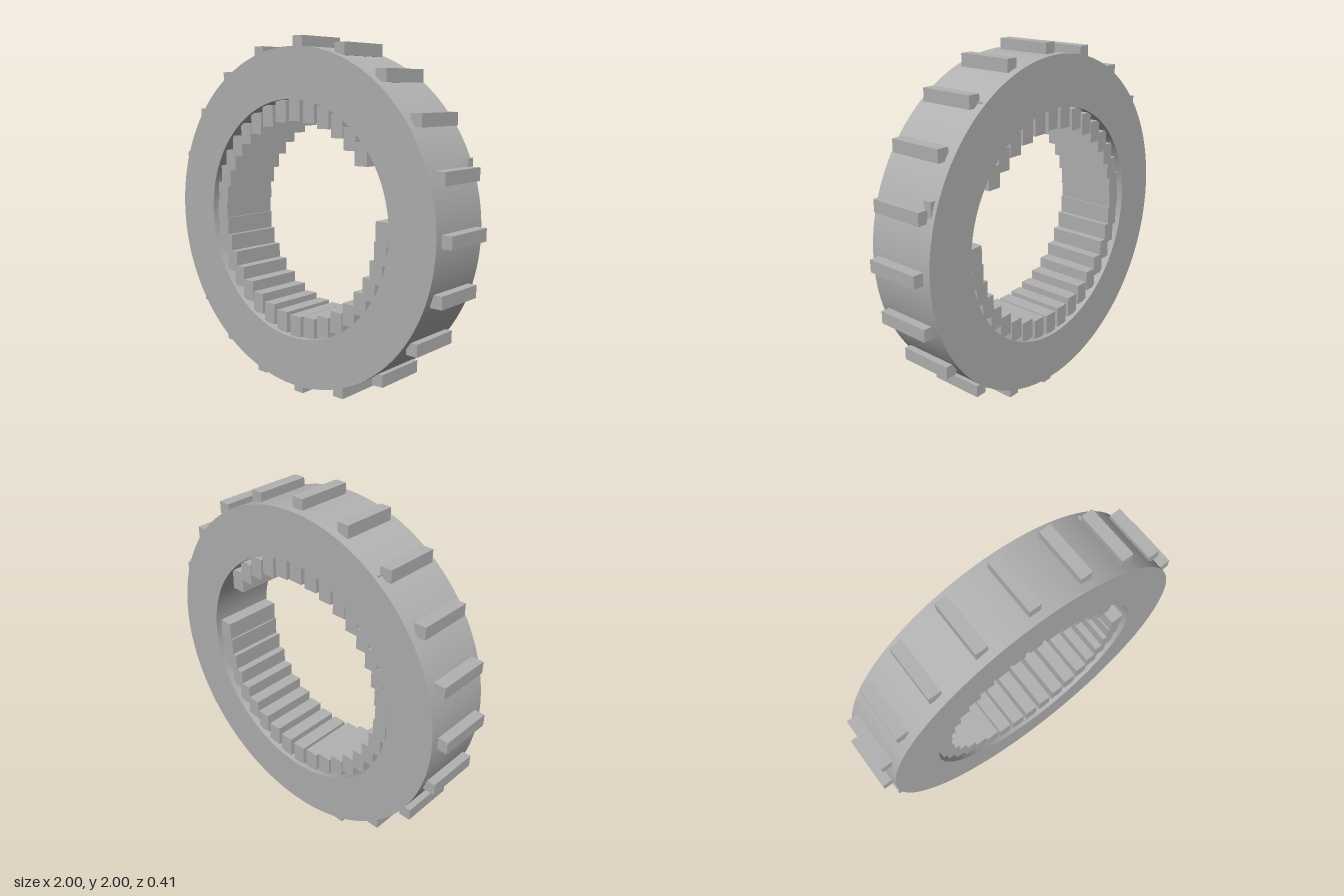
import * as THREE from 'three';
import { toCreasedNormals } from 'three/addons/utils/BufferGeometryUtils.js';

export function createModel() {
  const model = new THREE.Group();
  model.name = 'toothedRing';
  const steel = new THREE.MeshStandardMaterial({ color: 0xb2b2b2 });
  steel.name = 'plain grey';

  const centreY = 1;
  const add = (geometry, name, x, y, z, parent = model) => {
    const mesh = new THREE.Mesh(geometry, steel);
    mesh.name = name;
    mesh.position.set(x, y, z);
    parent.add(mesh);
  };

  // Main ring: flat annulus with smooth inner and outer walls
  const depth = 0.405;
  const outline = new THREE.Shape().absarc(0, 0, 0.942, 0, Math.PI * 2, false);
  outline.holes.push(new THREE.Path().absarc(0, 0, 0.664, 0, Math.PI * 2, true));
  const ring = new THREE.ExtrudeGeometry(outline, { depth, bevelEnabled: false, curveSegments: 128 });
  add(toCreasedNormals(ring, 0.6), 'ring', 0, centreY, -depth / 2);

  // Upright blocks spaced around a circle, skipping the given slots
  const blockCircle = (name, count, radius, size, skipped = []) => {
    const group = new THREE.Group();
    group.name = name + 's';
    const block = new THREE.BoxGeometry(...size);
    for (let i = 0; i < count; i++) {
      if (skipped.includes(i)) continue;
      const a = (i / count) * Math.PI * 2;
      add(block, name, radius * Math.cos(a), centreY + radius * Math.sin(a), 0, group);
    }
    model.add(group);
  };
  blockCircle('outerTooth', 20, 0.966, [0.068, 0.068, 0.312]);
  blockCircle('innerBlock', 36, 0.605, [0.08, 0.12, 0.36], [1, 2, 3]);

  // Small lug whose corner breaks through the rim near the back
  add(new THREE.BoxGeometry(0.08, 0.08, 0.045), 'rimLug', 0.855, 1.335, -0.158);

  // Thin clip corners just breaking through the rim
  const clip = new THREE.BoxGeometry(0.06, 0.06, 0.025);
  for (const sx of [-1, 1]) {
    for (const sy of [-1, 1]) add(clip, 'rimClip', sx * 0.515, centreY + sy * 0.747, -0.168);
  }
  return model;
}
